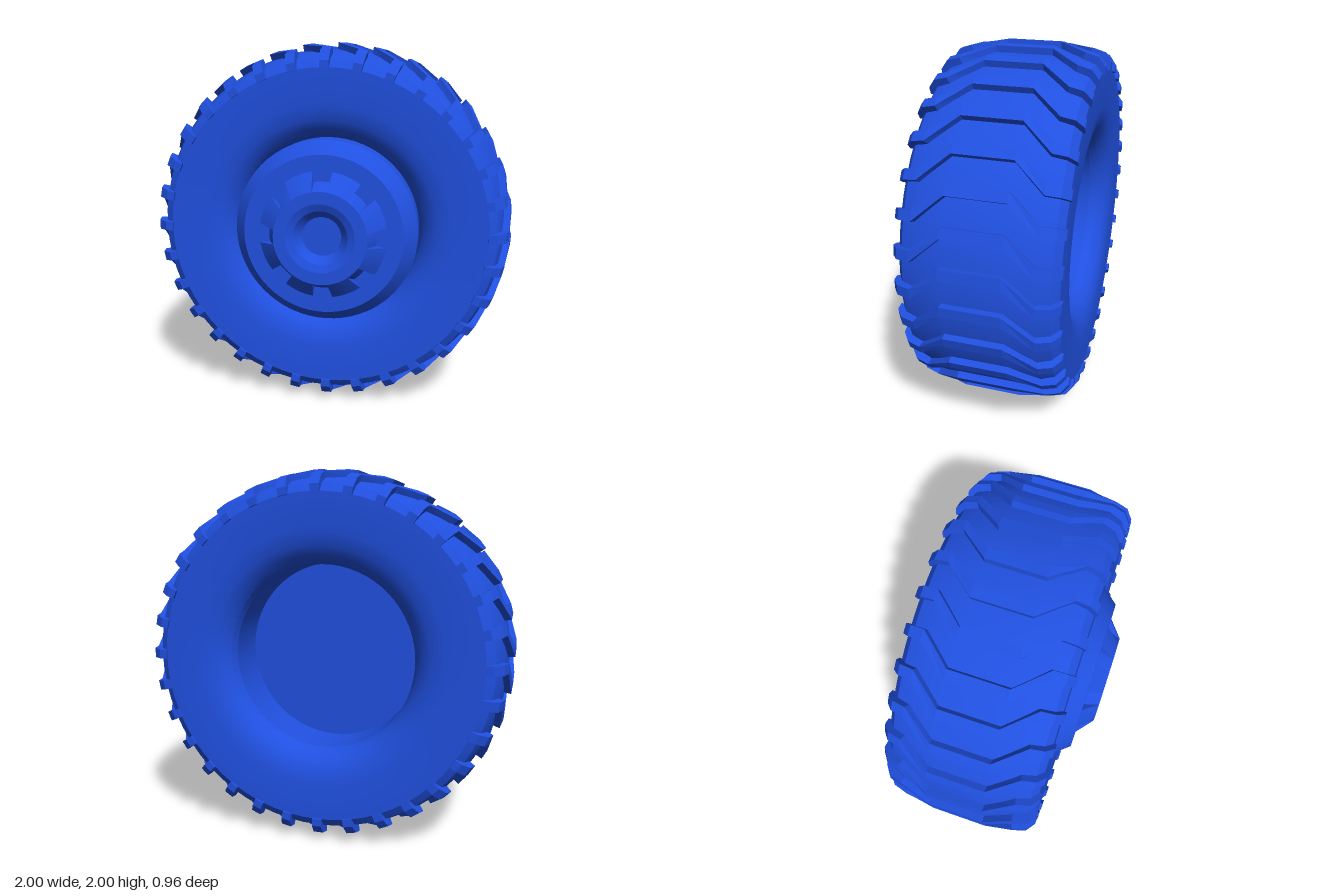
import * as THREE from 'three';
import { toCreasedNormals } from 'three/addons/utils/BufferGeometryUtils.js';

const LUGS = 32;
const MID = -0.07; // z of the tyre's centre plane
const deg = THREE.MathUtils.degToRad;
const material = new THREE.MeshStandardMaterial({ color: 0x2050e0 });

// Revolve [radius, z] points around the z axis.
function revolve(name, points, segments = 64, crease = 0.4) {
  const lathe = new THREE.LatheGeometry(points.map(([r, z]) => new THREE.Vector2(r, z)), segments);
  lathe.rotateX(Math.PI / 2);
  const mesh = new THREE.Mesh(toCreasedNormals(lathe, crease), material);
  mesh.name = name;
  return mesh;
}

// Point at radius r, angle a around the axle, depth z.
const polar = (r, a, z) => [r * Math.cos(a), r * Math.sin(a), z];

// Solid skin through a row of equal-sized cross-sections, capped at both ends.
function loft(sections) {
  const n = sections[0].length;
  const out = [];
  const tri = (a, b, c) => out.push(...a, ...b, ...c);
  for (let k = 0; k < sections.length - 1; k++) {
    const s = sections[k], t = sections[k + 1];
    for (let i = 0; i < n; i++) {
      const j = (i + 1) % n;
      tri(s[i], s[j], t[j]);
      tri(s[i], t[j], t[i]);
    }
  }
  const first = sections[0], last = sections[sections.length - 1];
  for (let i = 1; i < n - 1; i++) {
    tri(first[0], first[i + 1], first[i]);
    tri(last[0], last[i], last[i + 1]);
  }
  const g = new THREE.BufferGeometry();
  g.setAttribute('position', new THREE.Float32BufferAttribute(out, 3));
  g.computeVertexNormals();
  return g;
}

// Repeat one geometry evenly around the axle.
function ring(name, itemName, geometry, count) {
  const group = new THREE.Group();
  group.name = name;
  for (let i = 0; i < count; i++) {
    const mesh = new THREE.Mesh(geometry, material);
    mesh.name = itemName;
    mesh.rotation.z = (i / count) * Math.PI * 2;
    group.add(mesh);
  }
  return group;
}

// Chevron tread bar wrapping from one sidewall over the crown to the other.
function lugGeometry() {
  // outer radius, outer z, inner radius, inner z, angle
  const half = [
    [0.865, 0.412, 0.865, 0.38, 0],
    [0.905, 0.412, 0.885, 0.36, 0],
    [0.955, 0.375, 0.9, 0.33, 0],
    [0.975, 0.305, 0.92, 0.29, 0],
    [1.0, 0.15, 0.94, 0.15, 7.9],
  ];
  const stations = [
    ...half.map(([ro, zo, ri, zi, a]) => [ro, -zo, ri, -zi, a]),
    ...half.slice().reverse(),
  ];
  const w = deg(1.6);
  return loft(stations.map(([ro, zo, ri, zi, d]) => {
    const a = deg(d);
    return [
      polar(ri, a - w, MID + zi), polar(ro, a - w, MID + zo),
      polar(ro, a + w, MID + zo), polar(ri, a + w, MID + zi),
    ];
  }));
}

// Sloped panel between two hub pockets.
function panelGeometry() {
  const sections = [];
  for (let i = 0; i <= 6; i++) {
    const a = deg(9 + (27 * i) / 6);
    sections.push([polar(0.26, a, 0.39), polar(0.25, a, 0.48), polar(0.345, a, 0.4)]);
  }
  return toCreasedNormals(loft(sections), 0.4);
}

export function createModel() {
  const wheel = new THREE.Group();
  wheel.name = 'wheel';

  // Tyre body: one half profile from bead to crown, mirrored across the centre plane
  const half = [
    [0.5, 0.27], [0.515, 0.315], [0.55, 0.355], [0.6, 0.383], [0.68, 0.397],
    [0.87, 0.397], [0.915, 0.365], [0.94, 0.3], [0.965, 0.15],
  ];
  wheel.add(revolve('tyre', [
    ...half.map(([r, z]) => [r, MID - z]),
    ...half.slice().reverse().map(([r, z]) => [r, MID + z]),
  ]));
  wheel.add(ring('tread', 'treadLug', lugGeometry(), LUGS));

  // Open barrel at the back, closed by a disc
  wheel.add(revolve('rimBarrel', [[0, -0.09], [0.5, -0.09], [0.5, MID - 0.27]]));

  // Stepped rim, pocket floor, hub face and sunken centre
  wheel.add(revolve('rimFace', [
    [0.5, 0.18], [0.5, 0.315], [0.43, 0.4], [0.29, 0.4], [0.25, 0.48],
    [0.185, 0.48], [0.145, 0.465], [0.105, 0.42], [0, 0.42],
  ], 64, 0.3));
  wheel.add(ring('hubPanels', 'hubPanel', panelGeometry(), 8));

  wheel.position.y = 1;
  const model = new THREE.Group();
  model.name = 'wheelModel';
  model.add(wheel);
  return model;
}
